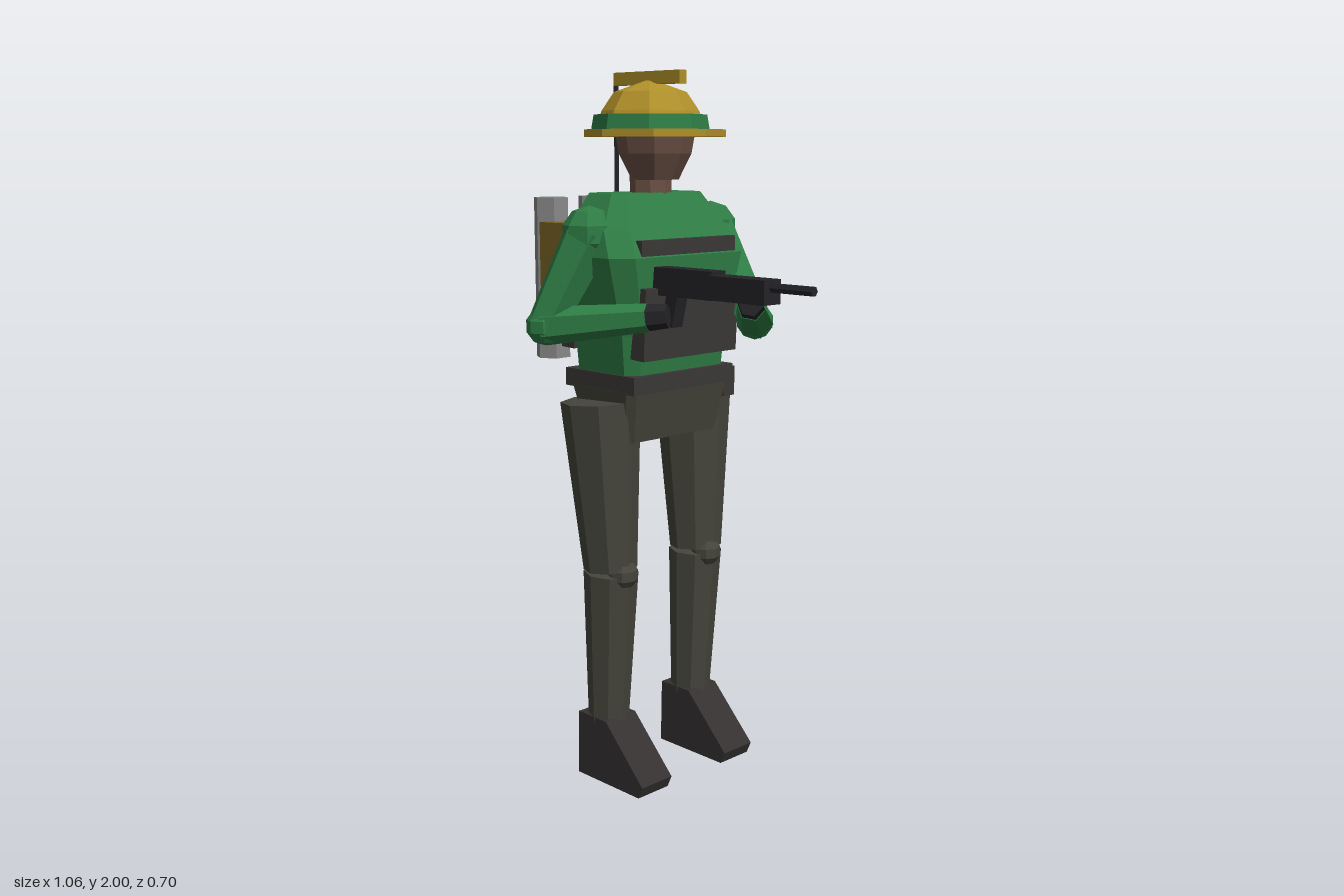
import * as THREE from 'three';

const mat = (color) => new THREE.MeshStandardMaterial({ color, flatShading: true });
const V = (p) => new THREE.Vector3(...p);
const CZ = -0.035; // body centre line

// Loft of chamfered rectangles: each section is [y, xMin, xMax, zHalf, chamfer]
function loftGeometry(sections) {
  const pos = [], idx = [];
  for (const [y, a, b, h, c] of sections) {
    const ring = [[b, h - c], [b, c - h], [b - c, -h], [a + c, -h], [a, c - h], [a, h - c], [a + c, h], [b - c, h]];
    for (const [x, z] of ring) pos.push(x, y, z + CZ);
  }
  const n = 8, last = (sections.length - 1) * n;
  for (let s = 0; s < sections.length - 1; s++) {
    for (let i = 0; i < n; i++) {
      const p = s * n + i, q = s * n + (i + 1) % n;
      idx.push(p, q, q + n, p, q + n, p + n);
    }
  }
  for (let i = 1; i < n - 1; i++) idx.push(0, i + 1, i, last, last + i, last + i + 1);
  const g = new THREE.BufferGeometry();
  g.setAttribute('position', new THREE.Float32BufferAttribute(pos, 3));
  g.setIndex(idx);
  g.computeVertexNormals();
  return g;
}

export function createModel() {
  const model = new THREE.Group();
  const green = mat(0x2f7d45), tan = mat(0xb0902a), skin = mat(0x6b5044), trouser = mat(0x45453c);
  const dark = mat(0x3a3836), boot = mat(0x353131), gun = mat(0x242428), pack = mat(0x7c6524), steel = mat(0x888888);

  const add = (name, geometry, material, pos = [0, 0, 0], parent = model) => {
    const m = new THREE.Mesh(geometry, material);
    m.name = name;
    m.position.set(...pos);
    parent.add(m);
    return m;
  };
  // Box given by its minimum and maximum corners
  const box = (name, lo, hi, material) => add(name,
    new THREE.BoxGeometry(hi[0] - lo[0], hi[1] - lo[1], hi[2] - lo[2]), material,
    lo.map((v, i) => (v + hi[i]) / 2));
  // Tapered prism between two points
  const limb = (name, a, b, ra, rb, material, sides = 6) => {
    const d = V(b).sub(V(a));
    const m = add(name, new THREE.CylinderGeometry(rb, ra, d.length(), sides), material);
    m.position.copy(V(a)).addScaledVector(d, 0.5);
    m.quaternion.setFromUnitVectors(new THREE.Vector3(0, 1, 0), d.normalize());
    return m;
  };
  const ball = (name, p, r, material) => add(name, new THREE.SphereGeometry(r, 8, 5), material, p);
  const lathe = (name, profile, x, material) => add(name,
    new THREE.LatheGeometry(profile.map(([r, y]) => new THREE.Vector2(r, y)), 8), material, [x, 0, CZ]);

  // Head and helmet
  lathe('neck', [[0, 1.64], [0.058, 1.64], [0.058, 1.73], [0, 1.73]], -0.155, skin);
  lathe('head', [[0, 1.71], [0.065, 1.71], [0.1, 1.78], [0.11, 1.835], [0, 1.835]], -0.137, skin);
  lathe('helmetBrim', [[0, 1.825], [0.195, 1.825], [0.195, 1.845], [0, 1.845]], -0.137, tan);
  lathe('helmetBand', [[0, 1.84], [0.164, 1.84], [0.156, 1.885], [0, 1.885]], -0.155, green);
  lathe('helmetDome', [[0.14, 1.88], [0.134, 1.895], [0.1, 1.945], [0, 1.98]], -0.155, tan);
  box('helmetCrest', [-0.29, 1.965, -0.049], [-0.03, 2, -0.023], tan);

  // Torso with armour plates
  add('torso', loftGeometry([
    [1.185, -0.28, -0.035, 0.188, 0.03],
    [1.3, -0.29, -0.02, 0.2, 0.04],
    [1.51, -0.303, 0, 0.255, 0.05],
    [1.58, -0.29, -0.04, 0.235, 0.05],
    [1.675, -0.25, -0.1, 0.17, 0.03],
  ]), green);
  const front = box('frontPlate', [-0.05, 1.235, -0.215], [0.008, 1.43, 0.145], dark);
  front.rotation.z = -0.05;
  box('chestSlot', [-0.06, 1.512, -0.215], [-0.002, 1.555, 0.145], dark);
  const back = box('backPlate', [-0.322, 1.245, -0.22], [-0.27, 1.54, 0.15], dark);
  back.rotation.z = -0.04;

  // Belt, hips and pouches
  box('belt', [-0.3, 1.14, -0.228], [-0.02, 1.19, 0.16], dark);
  add('hips', loftGeometry([[1.0, -0.25, -0.06, 0.178, 0.02], [1.145, -0.288, -0.03, 0.196, 0.02]]), trouser);
  for (const x of [-0.08, -0.24]) box('beltPouch', [x - 0.03, 1.09, -0.268], [x + 0.03, 1.175, -0.222], dark);

  // Legs
  const bootShape = new THREE.Shape([[-0.235, 0], [0.02, 0], [0.036, 0.035], [-0.115, 0.19], [-0.23, 0.19]]
    .map(([x, y]) => new THREE.Vector2(x, y)));
  for (const s of [1, -1]) {
    const z = (o) => CZ + s * o;
    limb('thigh', [-0.147, 0.63, z(0.172)], [-0.17, 1.11, z(0.182)], 0.076, 0.112, trouser, 8);
    ball('knee', [-0.1, 0.62, z(0.168)], 0.045, trouser);
    limb('shin', [-0.165, 0.17, z(0.168)], [-0.147, 0.62, z(0.17)], 0.058, 0.078, trouser, 8);
    const g = new THREE.ExtrudeGeometry(bootShape, { depth: 0.115, bevelEnabled: false });
    add('boot', g, boot, [0, 0, z(0.168) - 0.0575]);
  }

  // Arms: shoulder, elbow, wrist
  const arms = [
    { s: [-0.16, 1.57, 0.19], e: [-0.225, 1.325, 0.295], w: [0.02, 1.355, 0.145] },
    { s: [-0.16, 1.57, -0.28], e: [0.045, 1.315, -0.25], w: [0.28, 1.395, 0.025] },
  ];
  for (const { s, e, w } of arms) {
    ball('shoulder', s, 0.075, green);
    limb('upperArm', s, e, 0.072, 0.052, green);
    ball('elbow', e, 0.053, green);
    limb('forearm', e, w, 0.053, 0.038, green);
    const tip = V(w).add(V(w).sub(V(e)).normalize().multiplyScalar(0.055)).toArray();
    limb('hand', w, tip, 0.036, 0.032, gun);
  }

  // Rifle
  box('rifleBody', [-0.03, 1.41, 0.048], [0.21, 1.485, 0.1], gun);
  box('rifleForegrip', [0.205, 1.412, 0.043], [0.395, 1.475, 0.105], gun);
  limb('rifleBarrel', [0.39, 1.455, 0.074], [0.53, 1.455, 0.074], 0.013, 0.013, gun);
  const grip = box('rifleGrip', [0.03, 1.33, 0.055], [0.07, 1.42, 0.095], gun);
  grip.rotation.z = -0.25;

  // Backpack with tanks and aerial
  box('backpack', [-0.465, 1.26, -0.187], [-0.315, 1.587, 0.11], pack);
  for (const z of [-0.124, 0.047]) limb('tank', [-0.488, 1.19, z], [-0.488, 1.655, z], 0.052, 0.052, steel);
  limb('aerial', [-0.424, 1.57, -0.154], [-0.424, 1.98, -0.154], 0.007, 0.007, gun);

  return model;
}
